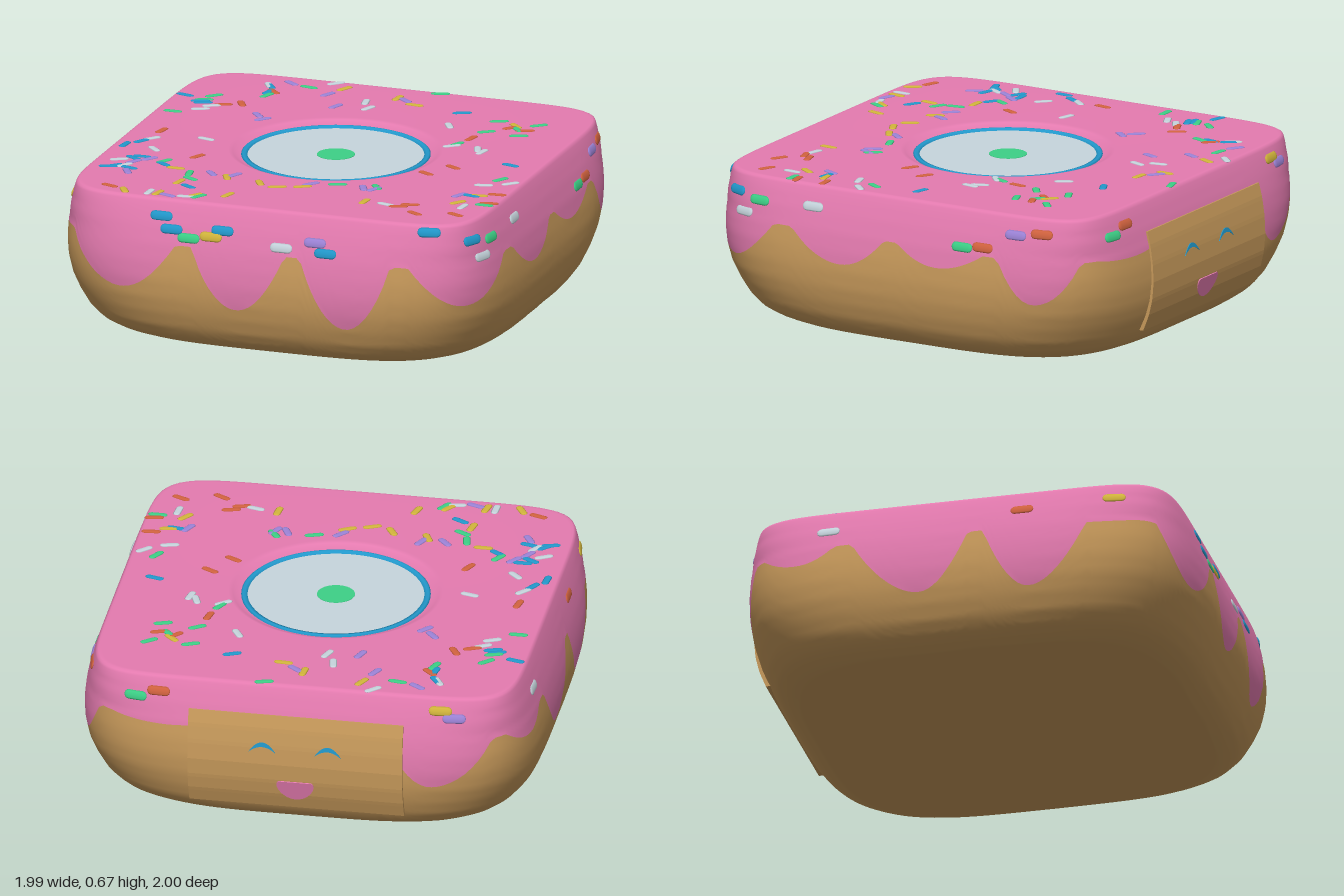
import * as THREE from 'three';

const mat = (name, color) => new THREE.MeshStandardMaterial({ name, color });
const M = {
  icing: mat('pink icing', 0xe57bb0), dough: mat('golden dough', 0xc89a5b),
  blue: mat('blue', 0x2299cc), green: mat('green', 0x3dd087), yellow: mat('yellow', 0xd3b63c),
  orange: mat('orange', 0xd2633f), purple: mat('purple', 0x9d84d8), pale: mat('pale grey', 0xc6d5dd),
};
const TOP = 0.665, SEG = 288;

// Side profile: half width against height
const PROFILE = [[0, 0.82], [0.02, 0.865], [0.05, 0.907], [0.1, 0.942], [0.17, 0.97], [0.24, 0.987], [0.32, 0.994],
  [0.4, 0.99], [0.48, 0.978], [0.56, 0.957], [0.62, 0.937], [0.65, 0.925], [0.66, 0.92], [TOP, 0.912]];

// Squareness of the outline against height
const SQUARENESS = [[0, 3.8], [0.17, 4.3], [0.32, 5], [0.5, 6], [0.6, 7.5], [TOP, 9]];

// Lower edge of the icing: angle around the body in degrees against height
const DRIPS = [[-47, 0.48], [-36, 0.29], [-27, 0.48], [-13, 0.4], [0, 0.48], [14, 0.35], [29, 0.48], [43, 0.3],
  [57, 0.48], [68, 0.18], [81, 0.48], [96, 0.22], [109, 0.48], [123.5, 0.27], [137, 0.48], [147, 0.47],
  [161, 0.2], [174, 0.48], [188.5, 0.22], [207, 0.48], [215, 0.41], [225, 0.48], [239, 0.26], [250, 0.48],
  [270, 0.45], [290, 0.48], [300, 0.46], [313, 0.48]];

// Sprinkles on the top: x, z, turn in degrees
const TOP_SPRINKLES = {
  blue: [[-0.57, -0.76, -55], [-0.55, -0.68, 80], [0.33, -0.67, 25], [-0.87, -0.52, -15], [-0.78, -0.46, 20],
    [-0.76, -0.44, 20], [0.78, -0.03, -15], [-0.82, 0.17, 60], [-0.87, 0.24, 85], [-0.74, 0.38, 0], [-0.77, 0.41, -30],
    [-0.62, 0.45, -35], [-0.81, 0.54, 45], [-0.83, 0.56, 15], [-0.74, 0.55, -15], [-0.41, 0.72, -30], [0.77, 0.44, -10]],
  green: [[-0.41, -0.8, -10], [0.15, -0.9, 15], [-0.75, -0.55, 45], [-0.77, -0.48, 20], [-0.54, -0.63, 70],
    [0.52, -0.61, 25], [0.7, -0.61, 40], [0.63, -0.53, -50], [0.52, -0.45, 35], [0.67, -0.44, 20], [0.46, -0.24, 65],
    [-0.84, -0.28, 0], [0.81, 0.18, 60], [-0.63, 0.41, 60], [-0.47, 0.54, -80], [-0.44, 0.61, -30],
    [-0.32, 0.84, 60], [0.18, 0.48, 20], [0.35, 0.46, -55], [0.87, 0.55, 0]],
  yellow: [[-0.26, -0.83, 65], [0, -0.78, 85], [0.1, -0.71, -5], [0.61, -0.57, -45], [-0.55, 0.49, 0],
    [-0.3, 0.54, -65], [-0.14, 0.57, -60], [-0.05, 0.6, 25], [0.05, 0.56, 30], [-0.47, 0.67, 80], [-0.34, 0.83, 55],
    [-0.21, 0.78, 75], [-0.65, 0.86, -60], [-0.5, 0.85, 80], [0.37, 0.67, 85], [0.75, 0.55, 55], [0.8, 0.43, 10]],
  orange: [[-0.53, -0.69, -45], [-0.6, -0.48, -60], [-0.67, -0.44, 25], [0.6, -0.54, 50], [0.67, -0.52, 20],
    [0.49, -0.34, 80], [-0.79, 0, 80], [0.56, 0.08, -30], [0.48, 0.2, -30], [-0.52, 0.3, 65], [-0.73, 0.82, -20],
    [0.57, 0.65, 15], [0.53, 0.69, 15], [0.63, 0.76, -30], [0.8, 0.72, -25], [0.88, 0.52, 10], [0.87, 0.39, 5]],
  purple: [[-0.5, -0.83, -35], [-0.3, -0.73, 65], [0.04, -0.76, -40], [-0.21, -0.58, 70], [-0.48, -0.35, -50],
    [-0.44, -0.3, 50], [-0.7, 0.4, 55], [-0.73, 0.6, -60], [-0.38, 0.51, -50], [-0.28, 0.5, 65], [0.07, 0.51, 50],
    [0.3, 0.49, -65], [0.35, 0.49, 65], [-0.45, 0.87, -20], [0.72, 0.45, 65], [-0.75, 0.46, 60]],
  pale: [[-0.32, -0.89, 45], [-0.58, -0.77, -60], [-0.11, -0.68, -80], [-0.07, -0.6, 70], [0.34, -0.48, -60],
    [-0.74, -0.35, 25], [-0.71, -0.41, 30], [0.45, -0.21, 40], [0.6, -0.17, 80], [0.57, -0.2, -70], [-0.57, 0.05, -15],
    [-0.79, 0.12, 50], [-0.73, 0.26, -45], [-0.82, 0.45, 30], [-0.77, 0.52, 60], [-0.54, 0.85, 88], [-0.37, 0.86, 10],
    [0.47, 0.68, -15], [0.79, 0.6, 85], [0.77, 0.28, 15], [0.87, 0.22, 45]],
};

// Sprinkles on the sides: position along the side, height, colour
const SIDE_SPRINKLES = {
  front: [[-0.45, 0.595, 'blue'], [-0.4, 0.545, 'blue'], [-0.32, 0.515, 'green'], [-0.22, 0.53, 'yellow'],
    [-0.17, 0.56, 'blue'], [0.1, 0.515, 'pale'], [0.25, 0.55, 'purple'], [0.3, 0.51, 'blue'], [0.75, 0.635, 'blue']],
  right: [[-0.8, 0.585, 'blue'], [-0.67, 0.565, 'green'], [-0.75, 0.505, 'pale'], [-0.4, 0.575, 'pale'],
    [0.35, 0.505, 'green'], [0.45, 0.515, 'orange'], [0.6, 0.585, 'purple'], [0.72, 0.6, 'orange']],
  back: [[-0.7, 0.57, 'green'], [-0.6, 0.6, 'orange'], [0.62, 0.61, 'yellow'], [0.68, 0.58, 'purple']],
  left: [[-0.55, 0.56, 'pale'], [0.3, 0.57, 'orange'], [0.7, 0.59, 'yellow']],
};

// Reads a table; ease gets the fraction and whether the value is rising
function lookup(table, x, ease = (t) => t) {
  let i = 1;
  while (i < table.length - 1 && x > table[i][0]) i++;
  const [a, b] = [table[i - 1], table[i]];
  const t = THREE.MathUtils.clamp((x - a[0]) / (b[0] - a[0]), 0, 1);
  return THREE.MathUtils.lerp(a[1], b[1], ease(t, b[1] > a[1]));
}
const width = (y) => lookup(PROFILE, y);
const squareness = (y) => lookup(SQUARENESS, y);
const bowl = (t) => Math.min(1, t / 0.86) ** 2;
const dripEdge = (deg) => lookup(DRIPS, deg > 313 ? deg - 360 : deg, (t, up) => (up ? bowl(t) : 1 - bowl(1 - t)));

// Skin of rounded-square rings; ring(row, degrees) returns [half width, height, squareness]
function loft(rows, ring) {
  const pos = [], index = [];
  for (let j = 0; j < rows; j++) {
    for (let i = 0; i < SEG; i++) {
      const deg = (i / SEG) * 360, a = THREE.MathUtils.degToRad(deg);
      const [r, y, p = squareness(y)] = ring(j, deg);
      const c = Math.cos(a), s = Math.sin(a);
      const k = r * (Math.abs(c) ** p + Math.abs(s) ** p) ** (-1 / p);
      pos.push(c * k, y, s * k);
      if (j === 0) continue;
      const n = (i + 1) % SEG, b = (j - 1) * SEG, t = j * SEG;
      index.push(b + i, t + i, t + n, b + i, t + n, b + n);
    }
  }
  const g = new THREE.BufferGeometry();
  g.setAttribute('position', new THREE.Float32BufferAttribute(pos, 3));
  g.setIndex(index);
  g.computeVertexNormals();
  return g;
}

function add(parent, name, geometry, material, x = 0, y = 0, z = 0) {
  const m = new THREE.Mesh(geometry, material);
  m.name = name;
  m.position.set(x, y, z);
  parent.add(m);
  return m;
}

function addBody(root) {
  const base = [[0, 0], [0.66, 0]];
  add(root, 'doughBase', loft(24, (j, deg) => {
    if (j < 2) return base[j];
    const y = dripEdge(deg) * ((j - 2) / 21) ** 1.4;
    return [width(y), y];
  }), M.dough);
  // Flat top with a shallow dish for the window
  const cap = [[0.92, 0.66], [0.912, TOP], [0.9, TOP], [0.46, TOP, 2], [0.44, 0.66, 2], [0.4, 0.64, 2], [0, 0.63, 2]];
  add(root, 'icing', loft(22, (j, deg) => {
    if (j > 14) return cap[j - 15];
    const y = THREE.MathUtils.lerp(dripEdge(deg), 0.65, j / 14);
    return [width(y), y];
  }), M.icing);
}

// Round window set in the top
function addWindow(root) {
  const rim = [[0.405, 0.63], [0.404, 0.645], [0.398, 0.65], [0.39, 0.65], [0.388, 0.646], [0.378, 0.646], [0.375, 0.63]];
  add(root, 'windowRim', new THREE.LatheGeometry(rim.map(([r, y]) => new THREE.Vector2(r, y)), 72), M.blue);
  add(root, 'windowDisc', new THREE.CylinderGeometry(0.377, 0.377, 0.008, 72), M.pale, 0, 0.637, 0);
  add(root, 'centreDot', new THREE.CylinderGeometry(0.081, 0.081, 0.004, 40), M.green, 0, 0.641, 0);
}

// Curved panel on the back with a small face
function addBackPanel(root) {
  const ys = Array.from({ length: 25 }, (_, i) => 0.1 + (i / 24) * 0.44);
  const outer = ys.map((y) => new THREE.Vector2(width(y) + 0.006, y));
  const inner = ys.map((y) => new THREE.Vector2(width(y) - 0.03, y)).reverse();
  const panel = new THREE.ExtrudeGeometry(new THREE.Shape([...outer, ...inner]), { depth: 0.93, bevelEnabled: false });
  panel.rotateY(Math.PI / 2).translate(-0.465, 0, 0);
  add(root, 'backPanel', panel, M.dough);

  const plate = (name, shape, material, x, y) => {
    const g = new THREE.ExtrudeGeometry(shape, { depth: 0.007, bevelEnabled: false, curveSegments: 20 });
    const m = add(root, name, g, material, x, y, -(width(y) + 0.002));
    const slope = (width(y + 0.04) - width(y - 0.04)) / 0.08;
    m.rotation.set(Math.atan(slope), Math.PI, 0, 'YXZ');
  };
  const eye = new THREE.Shape();
  eye.moveTo(-0.058, -0.02);
  eye.quadraticCurveTo(0, 0.07, 0.058, -0.02);
  eye.quadraticCurveTo(0, 0.03, -0.058, -0.02);
  for (const side of [1, -1]) plate(side > 0 ? 'leftEye' : 'rightEye', eye, M.blue, side * 0.142, 0.395);
  const mouth = new THREE.Shape();
  mouth.moveTo(-0.07, 0.045);
  mouth.lineTo(0.07, 0.045);
  mouth.bezierCurveTo(0.1, 0.03, 0.06, -0.05, 0, -0.05);
  mouth.bezierCurveTo(-0.06, -0.05, -0.1, 0.03, -0.07, 0.045);
  plate('mouth', mouth, M.icing, 0, 0.2);
}

function addSprinkles(root) {
  const group = new THREE.Group();
  group.name = 'sprinkles';
  root.add(group);
  const flat = new THREE.CapsuleGeometry(0.016, 0.052, 3, 8).rotateZ(Math.PI / 2).scale(1, 0.25, 1);
  const upright = flat.clone().rotateX(Math.PI / 2).scale(1.2, 1.3, 1.5);
  for (const [color, list] of Object.entries(TOP_SPRINKLES)) {
    for (const [x, z, turn] of list) {
      add(group, 'topSprinkle', flat, M[color], x, TOP, z).rotation.y = THREE.MathUtils.degToRad(turn);
    }
  }
  Object.entries(SIDE_SPRINKLES).forEach(([name, list], k) => {
    const side = new THREE.Group();
    side.name = name + 'Sprinkles';
    side.rotation.y = (k * Math.PI) / 2;
    group.add(side);
    for (const [u, y, color] of list) {
      const p = squareness(y), z = (width(y) ** p - Math.abs(u) ** p) ** (1 / p);
      const m = add(side, 'sideSprinkle', upright, M[color], u, y, z);
      m.rotation.set(-0.28, Math.atan(Math.sign(u) * (Math.abs(u) / z) ** (p - 1)), 0, 'YXZ');
    }
  });
}

export function createModel() {
  const root = new THREE.Group();
  root.name = 'squareDoughnut';
  addBody(root);
  addWindow(root);
  addBackPanel(root);
  addSprinkles(root);
  return root;
}
